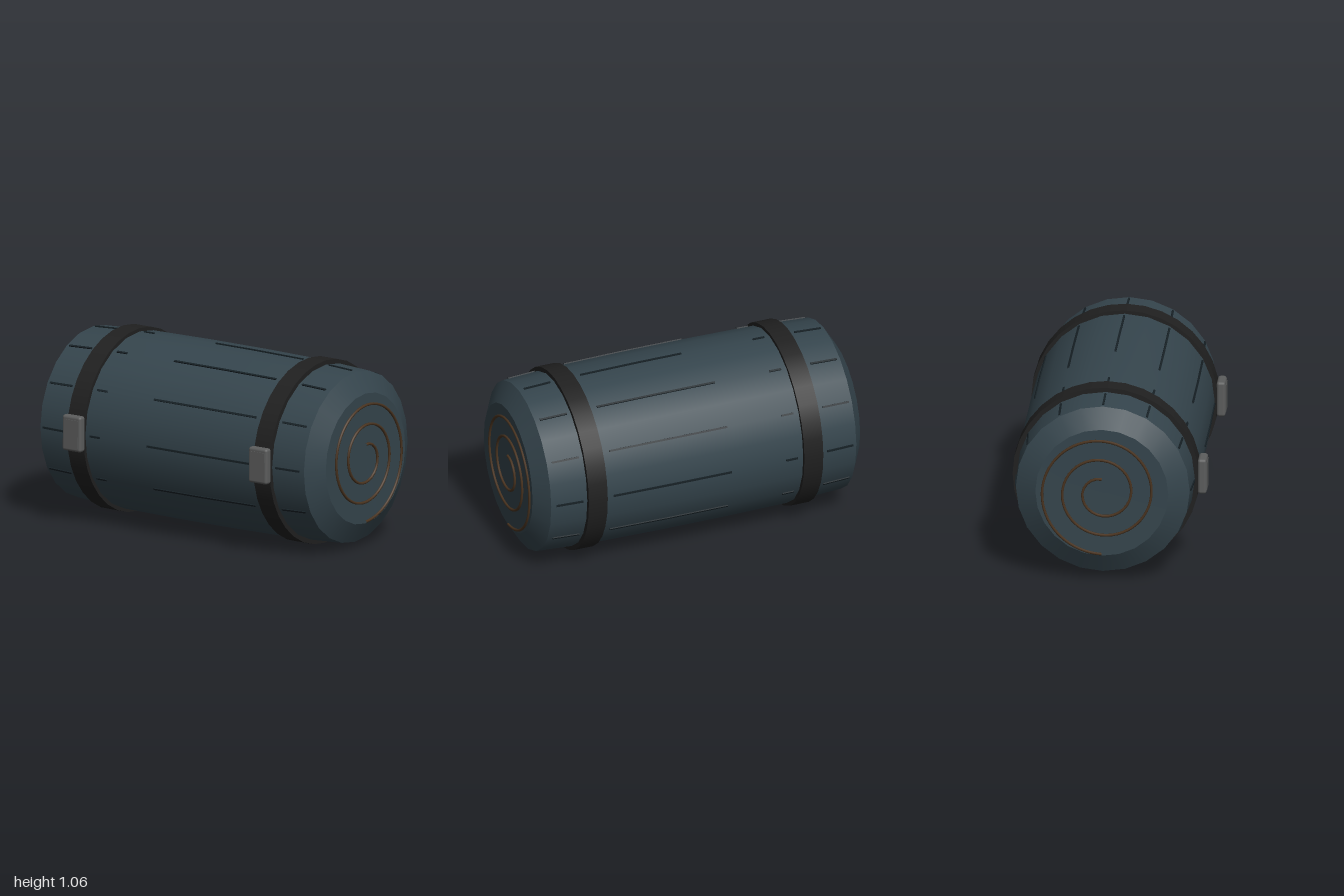
import * as THREE from 'three';
import { mergeGeometries } from 'three/addons/utils/BufferGeometryUtils.js';
import { RoundedBoxGeometry } from 'three/addons/geometries/RoundedBoxGeometry.js';

const mat = (name, color) => {
  const m = new THREE.MeshStandardMaterial({ color });
  m.name = name;
  return m;
};

// Turns runs of [x, radius] points about the x axis; each run is smooth, with a sharp edge between runs
function turned(runs, sides) {
  const parts = runs.map((run) =>
    new THREE.LatheGeometry(run.map(([x, r]) => new THREE.Vector2(r, x)), sides));
  return mergeGeometries(parts).rotateZ(-Math.PI / 2);
}

// Height of the cloth surface along the roll
const side = [[-0.92, 0.49], [-0.6, 0.507], [-0.2, 0.512], [0.2, 0.512], [0.6, 0.507], [0.92, 0.49]];
function radiusAt(x) {
  for (let i = 1; i < side.length; i++) {
    const [x0, r0] = side[i - 1], [x1, r1] = side[i];
    if (x <= x1) return r0 + (r1 - r0) * (x - x0) / (x1 - x0);
  }
  return 0.49;
}

// Spiral of the rolled cloth edge on an end face
class RollSpiral extends THREE.Curve {
  constructor(end) {
    super();
    this.end = end;
  }
  getPoint(t, target = new THREE.Vector3()) {
    const a = t * Math.PI * 5, r = 0.08 + 0.285 * t;
    return target.set(this.end * 0.991, r * Math.cos(a), -r * Math.sin(a));
  }
}

export function createModel() {
  const cloth = mat('slate cloth', 0x35454d);
  const seamDark = mat('dark seam', 0x172126);
  const leather = mat('black leather', 0x202020);
  const metal = mat('grey metal', 0x5c5d5d);
  const cord = mat('brown cord', 0x4a3420);

  const model = new THREE.Group();
  model.name = 'bedroll';
  const roll = new THREE.Group();
  roll.name = 'roll';
  roll.position.set(0, 0.534, -0.02);
  roll.rotation.z = -0.007;
  model.add(roll);

  const add = (name, geometry, material, parent = roll) => {
    const mesh = new THREE.Mesh(geometry, material);
    mesh.name = name;
    parent.add(mesh);
    return mesh;
  };

  // Rolled cloth with bevelled ends
  add('clothRoll', turned([
    [[-0.985, 0], [-0.988, 0.375]],
    [[-0.988, 0.375], [-0.92, 0.49]],
    side,
    [[0.92, 0.49], [0.988, 0.375]],
    [[0.988, 0.375], [0.985, 0]],
  ], 24), cloth);

  // Lengthwise seams, showing as dashes between the straps
  for (let i = -4; i <= 4; i++) {
    const seam = new THREE.Group();
    seam.name = 'seam';
    seam.rotation.x = i * Math.PI / 6;
    roll.add(seam);
    const start = i === 0 ? -0.06 : -0.16;
    for (const [a, b] of [[-0.9, -0.74], [-0.56, -0.49], [start, 0.2], [0.2, 0.55], [0.73, 0.89]]) {
      const ra = radiusAt(a), rb = radiusAt(b);
      const dash = add('seamDash', new THREE.BoxGeometry(b - a, 0.012, 0.011), seamDark, seam);
      dash.position.set((a + b) / 2, (ra + rb) / 2, 0);
      dash.rotation.z = Math.atan2(rb - ra, b - a);
    }
  }

  // Spirals, mirrored on the two ends
  for (const end of [-1, 1]) {
    add('endSpiral', new THREE.TubeGeometry(new RollSpiral(end), 110, 0.008, 6), cord);
  }

  // Straps and buckles
  const w = 0.057;
  for (const x of [-0.65, 0.65]) {
    const strap = add('strap', turned([
      [[-w, 0.495], [-w, 0.526]],
      [[-w, 0.526], [w, 0.526]],
      [[w, 0.526], [w, 0.495]],
    ], 32), leather);
    strap.position.x = x;

    const buckle = new THREE.Group();
    buckle.name = 'buckle';
    buckle.position.set(x, 0.012, 0.542);
    roll.add(buckle);
    add('buckleFrame', new RoundedBoxGeometry(0.13, 0.206, 0.05, 2, 0.016), metal, buckle);
    add('bucklePlate', new THREE.BoxGeometry(0.1, 0.16, 0.006), metal, buckle).position.z = 0.025;
  }
  return model;
}
